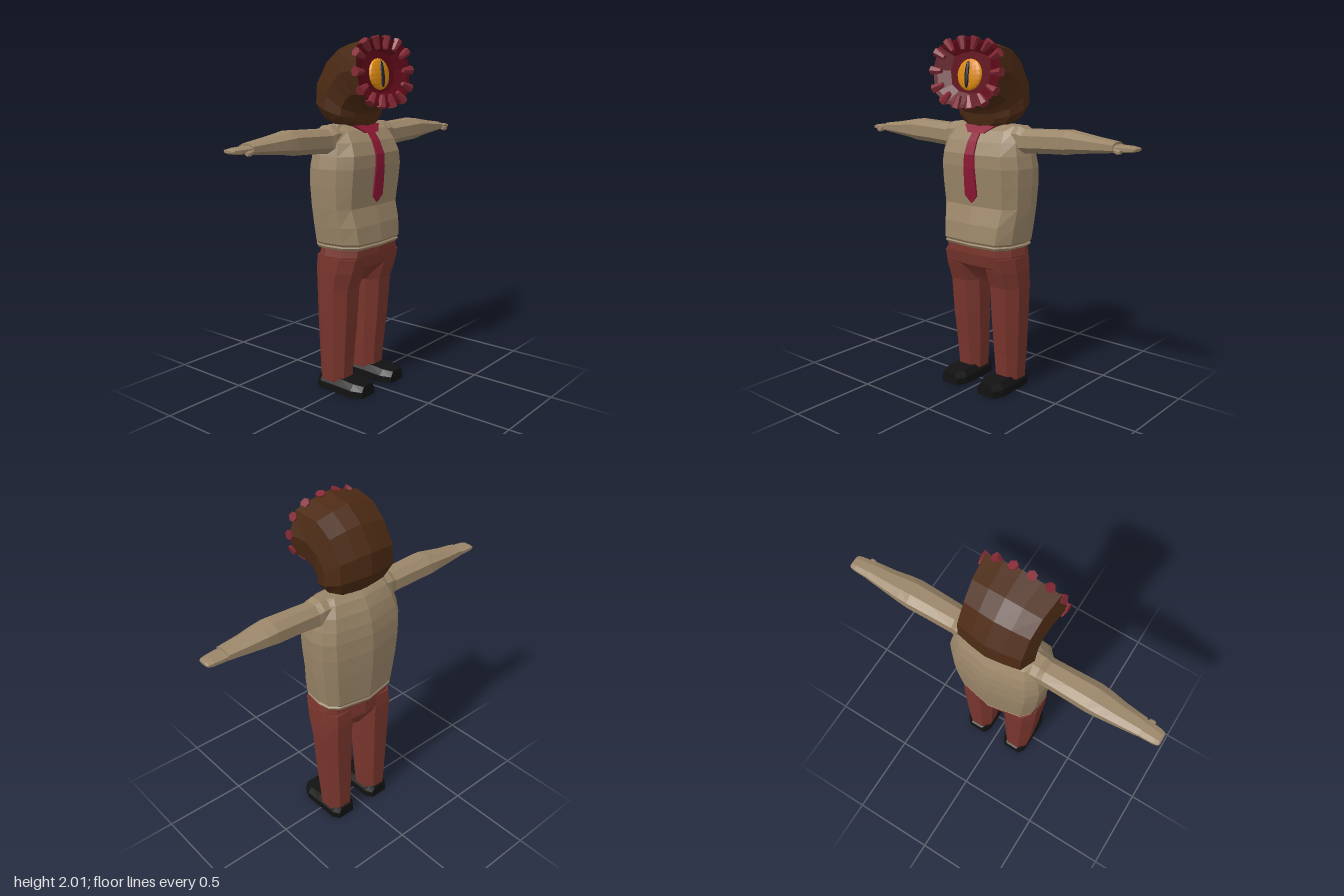
import * as THREE from 'three';

const mat = (color, side = THREE.FrontSide) =>
  new THREE.MeshStandardMaterial({ color, flatShading: true, roughness: 0.9, side });
const V = (x, y, z) => new THREE.Vector3(x, y, z);

// Skin a list of equal-length closed rings; winding is turned outward automatically
function loft(rings, capStart = true, capEnd = true) {
  const tris = [];
  const n = rings[0].length;
  for (let i = 0; i < rings.length - 1; i++) {
    for (let j = 0; j < n; j++) {
      const k = (j + 1) % n, a = rings[i], b = rings[i + 1];
      tris.push([a[j], a[k], b[k]], [a[j], b[k], b[j]]);
    }
  }
  const mid = (r) => r.reduce((s, p) => s.add(p), V(0, 0, 0)).divideScalar(n);
  const cap = (r, flip) => {
    const c = mid(r);
    r.forEach((p, j) => {
      const q = r[(j + 1) % n];
      tris.push(flip ? [c, q, p] : [c, p, q]);
    });
  };
  if (capStart) cap(rings[0], true);
  if (capEnd) cap(rings[rings.length - 1], false);
  const centre = mid(rings.map(mid).concat(Array(Math.max(0, n - rings.length)).fill(mid(rings[0]))).slice(0, n));
  let volume = 0;
  for (const [a, b, c] of tris) {
    const u = a.clone().sub(centre), v = b.clone().sub(centre), w = c.clone().sub(centre);
    volume += u.dot(v.cross(w));
  }
  const pts = tris.flatMap((t) => (volume < 0 ? [t[0], t[2], t[1]] : t));
  const g = new THREE.BufferGeometry().setFromPoints(pts);
  g.computeVertexNormals();
  return g;
}

// Body cross-section: broad front, chamfered flanks, ridge down the back
function bodyRing([y, w, zf, zb]) {
  const half = [[0.72, zf - 0.015], [0.94, zf * 0.45], [1, -0.04], [0.95, zb * 0.55], [0.76, zb * 0.8]];
  return [
    V(0, y, zf),
    ...half.map(([x, z]) => V(x * w, y, z)),
    V(0, y, zb),
    ...half.reverse().map(([x, z]) => V(-x * w, y, z)),
  ];
}

// Chamfered octagon as unit pairs
const OCT = [[1, 0.45], [0.5, 1], [-0.5, 1], [-1, 0.45], [-1, -0.45], [-0.5, -1], [0.5, -1], [1, -0.45]];

export function createModel() {
  const model = new THREE.Group();
  const cloth = mat(0x9a8568), trousers = mat(0x78352c), black = mat(0x121212);
  const hide = mat(0x4c2a14), crimson = mat(0x8c1834), flesh = mat(0x5e0a18, THREE.DoubleSide);
  const add = (name, geo, material, parent = model) => {
    const m = new THREE.Mesh(geo, material);
    m.name = name;
    parent.add(m);
    return m;
  };

  // Shirt, from hem lip up to the shoulders: y, half width, front z, back z
  add('shirt', loft([
    [0.85, 0.24, 0.155, -0.185], [0.865, 0.25, 0.165, -0.19], [0.872, 0.24, 0.158, -0.185],
    [0.885, 0.253, 0.166, -0.192], [0.98, 0.267, 0.155, -0.2], [1.08, 0.28, 0.127, -0.207],
    [1.2, 0.29, 0.14, -0.212], [1.3, 0.293, 0.15, -0.205], [1.37, 0.28, 0.148, -0.193],
    [1.44, 0.262, 0.12, -0.17], [1.5, 0.235, 0.075, -0.135], [1.53, 0.215, 0.03, -0.1],
  ].map(bodyRing)), cloth);

  // Collar wedge and hanging tie
  add('collar', loft([
    [0.055, 1.485, 0.088], [0.105, 1.525, 0.052],
  ].map(([w, y, z]) => [V(-w, y, z + 0.01), V(w, y, z + 0.01), V(w, y, z - 0.08), V(-w, y, z - 0.08)])), crimson);
  add('tie', loft([
    [1.505, 0.026, 0.08], [1.44, 0.03, 0.127], [1.37, 0.034, 0.155], [1.3, 0.037, 0.157],
    [1.2, 0.04, 0.148], [1.14, 0.041, 0.141], [1.1, 0.004, 0.135],
  ].map(([y, w, z]) => [V(-w, y, z), V(w, y, z), V(w, y, z - 0.02), V(-w, y, z - 0.02)])), crimson);

  // Hips, drawn in towards the crotch
  add('hips', loft([
    [0.86, 0.24, 0.148, -0.15], [0.81, 0.25, 0.15, -0.155], [0.74, 0.245, 0.135, -0.16],
    [0.7, 0.2, 0.095, -0.145], [0.64, 0.08, 0.05, -0.1],
  ].map(bodyRing)), trousers);

  for (const s of [1, -1]) {
    const side = s > 0 ? 'left' : 'right';

    // Trouser leg: y, inner x, outer x, front z, back z
    add(side + 'Leg', loft([
      [0.8, 0.03, 0.25, 0.135, -0.14], [0.72, 0.035, 0.254, 0.115, -0.145],
      [0.62, 0.038, 0.252, 0.08, -0.142], [0.4, 0.045, 0.242, 0.065, -0.14],
      [0.2, 0.052, 0.228, 0.045, -0.138], [0.06, 0.062, 0.218, 0.035, -0.135],
    ].map(([y, a, b, f, k]) => OCT.map(([x, z]) =>
      V(s * ((a + b) / 2 + x * (b - a) / 2), y, (f + k) / 2 + z * (f - k) / 2)))), trousers);

    // Shoe, heel to toe: z, half width, height
    add(side + 'Shoe', loft([
      [-0.147, 0.055, 0.07], [-0.11, 0.08, 0.08], [0.03, 0.083, 0.08], [0.12, 0.085, 0.075], [0.18, 0.055, 0.068],
    ].map(([z, w, h]) => [[-1, 0], [1, 0], [1, 0.55], [0.7, 1], [-0.7, 1], [-1, 0.55]]
      .map(([x, y]) => V(s * 0.138 + x * w, y * h, z)))), black);

    // Sleeve and hand: x, top y, bottom y, back z, front z
    const limb = (rows) => loft(rows.map(([x, t, b, k, f]) => OCT.map(([u, v]) =>
      V(s * x, (t + b) / 2 + u * (t - b) / 2, (k + f) / 2 + v * (f - k) / 2))));
    add(side + 'Sleeve', limb([
      [0.17, 1.53, 1.37, -0.1, 0.05], [0.24, 1.53, 1.375, -0.1, 0.05], [0.27, 1.515, 1.385, -0.095, 0.045],
      [0.42, 1.52, 1.395, -0.1, 0.048], [0.54, 1.525, 1.4, -0.105, 0.05], [0.6, 1.515, 1.41, -0.102, 0.045],
      [0.7, 1.5, 1.42, -0.093, 0.03], [0.82, 1.485, 1.432, -0.082, 0.02],
    ]), cloth);
    add(side + 'Hand', limb([
      [0.81, 1.474, 1.438, -0.08, 0.015], [0.84, 1.472, 1.436, -0.08, 0.018],
      [0.9, 1.47, 1.438, -0.078, 0.01], [0.925, 1.466, 1.443, -0.074, 0.004], [0.933, 1.46, 1.448, -0.065, -0.005],
    ]), cloth);
    add(side + 'Thumb', limb([
      [0.83, 1.458, 1.435, 0.005, 0.03], [0.85, 1.455, 1.428, 0.005, 0.035], [0.865, 1.45, 1.432, 0.008, 0.032],
    ]), cloth);
  }

  // Hooded head, bending from the open face down to the neck.
  // Outer (z, y), inner (z, y), half width
  const profile = [[0, 0], [0.42, 0.05], [0.86, 0.13], [1, 0.47], [0.87, 0.8], [0.52, 0.95], [0, 1]];
  const headRing = ([oz, oy, iz, iy, w]) => {
    const pt = (x, t) => V(x * w, oy + (iy - oy) * t, oz + (iz - oz) * t);
    return [...profile.map(([x, t]) => pt(x, t)), ...profile.slice(1, -1).reverse().map(([x, t]) => pt(-x, t))];
  };
  const head = new THREE.Group();
  head.name = 'head';
  model.add(head);
  const rim = headRing([0.15, 2.0, 0.2, 1.625, 0.24]);
  add('hood', loft([
    rim, ...[
      [0.0, 1.975, 0.13, 1.625, 0.222], [-0.1, 1.9, 0.095, 1.605, 0.212], [-0.18, 1.77, 0.08, 1.585, 0.21],
      [-0.187, 1.65, 0.075, 1.56, 0.21], [-0.15, 1.565, 0.07, 1.535, 0.17], [-0.08, 1.51, 0.065, 1.515, 0.1],
    ].map(headRing)], false, true), hide, head);

  // Recessed flesh inside the rim
  const centre = V(0, 1.81, 0.175);
  const inset = (k, dz) => rim.map((p) => centre.clone().lerp(p, k).add(V(0, 0, dz)));
  add('faceHollow', loft([rim, inset(0.9, -0.005), inset(0.6, -0.04)], false, true), flesh, head);

  // Blunt teeth around the rim, pointing inwards
  const tooth = new THREE.CylinderGeometry(0.013, 0.027, 0.07, 6);
  const toothMat = mat(0x842834);
  const curve = new THREE.CatmullRomCurve3(rim, true, 'catmullrom', 0.1);
  const count = 14;
  for (let i = 0; i < count; i++) {
    const p = curve.getPointAt((i + 0.5) / count);
    const dir = centre.clone().sub(p).normalize();
    const m = add('tooth', tooth, toothMat, head);
    m.position.copy(p).addScaledVector(dir, 0.028);
    m.quaternion.setFromUnitVectors(V(0, 1, 0), dir);
  }

  // Single eye with a slit pupil, tilted with the face
  const eye = new THREE.Group();
  eye.name = 'eye';
  eye.position.set(0, 1.8, 0.142);
  eye.rotation.x = -0.13;
  head.add(eye);
  add('iris', new THREE.SphereGeometry(0.085, 16, 10), mat(0xdd8a10), eye).scale.z = 0.3;
  const pupil = add('pupil', new THREE.SphereGeometry(1, 8, 8), mat(0x1c2026), eye);
  pupil.scale.set(0.016, 0.073, 0.012);
  pupil.position.z = 0.021;

  return model;
}
